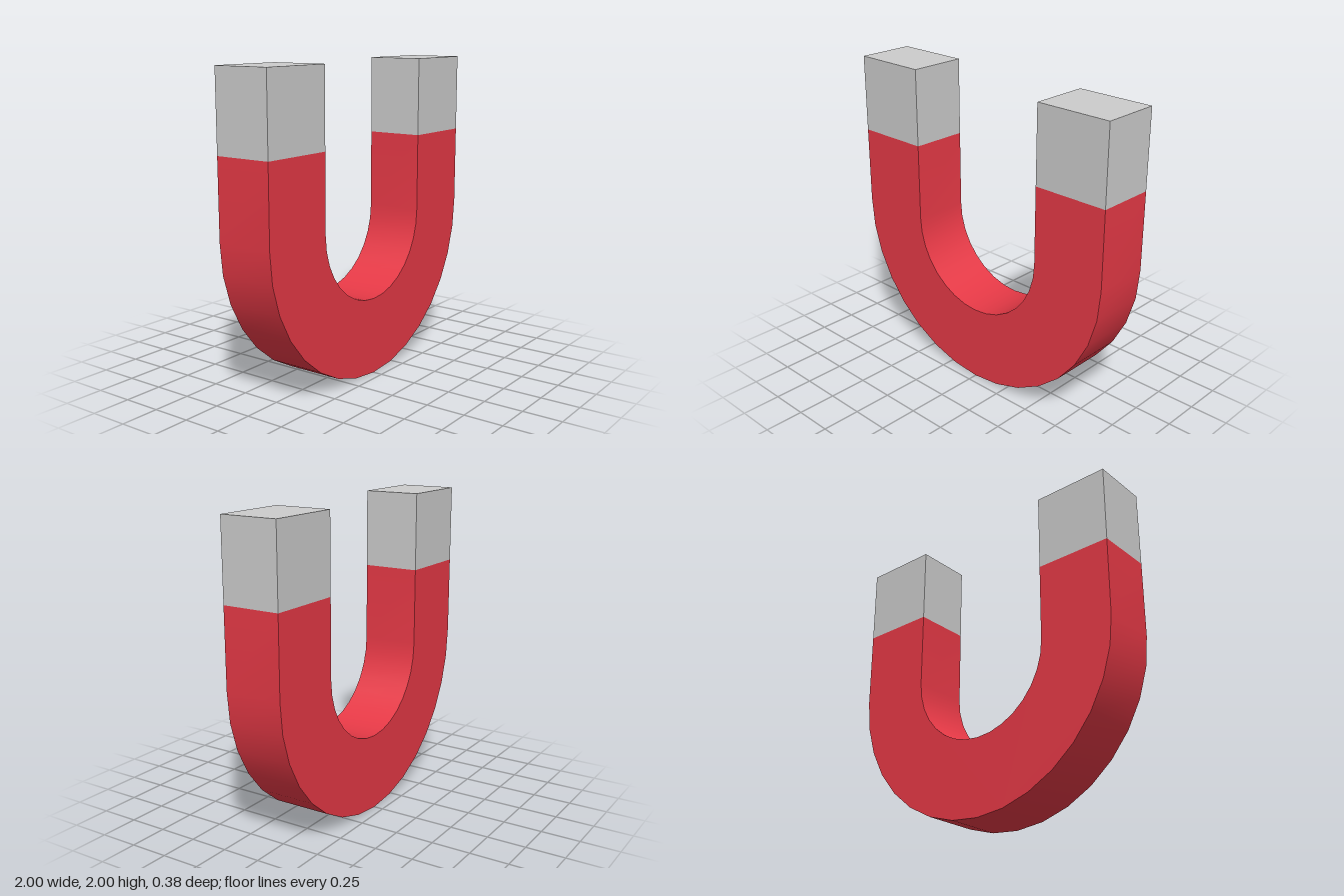
import * as THREE from 'three';
import { toCreasedNormals } from 'three/addons/utils/BufferGeometryUtils.js';

const OUTER = 1, INNER = 0.5, DEPTH = 0.375;
const BEND_Y = 1, TIP_Y = 1.5, TOP_Y = 2;

export function createModel() {
  const model = new THREE.Group();
  model.name = 'horseshoeMagnet';

  // U-shaped body: two straight legs joined by a half ring
  const profile = new THREE.Shape();
  profile.moveTo(-OUTER, TIP_Y);
  profile.lineTo(-OUTER, BEND_Y);
  profile.absarc(0, BEND_Y, OUTER, Math.PI, 2 * Math.PI, false);
  profile.lineTo(OUTER, TIP_Y);
  profile.lineTo(INNER, TIP_Y);
  profile.lineTo(INNER, BEND_Y);
  profile.absarc(0, BEND_Y, INNER, 2 * Math.PI, Math.PI, true);
  profile.lineTo(-INNER, TIP_Y);
  profile.closePath();

  const bodyGeometry = new THREE.ExtrudeGeometry(profile, {
    depth: DEPTH, bevelEnabled: false, curveSegments: 8,
  });
  bodyGeometry.translate(0, 0, -DEPTH / 2);
  const body = new THREE.Mesh(
    toCreasedNormals(bodyGeometry, 0.6),
    new THREE.MeshStandardMaterial({ color: 0xe63946 }),
  );
  body.name = 'body';
  model.add(body);

  // Bare metal pole tips, flush with the legs
  const tipGeometry = new THREE.BoxGeometry(OUTER - INNER, TOP_Y - TIP_Y, DEPTH);
  const metal = new THREE.MeshStandardMaterial({ color: 0xcccccc });
  for (const [name, side] of [['leftTip', 1], ['rightTip', -1]]) {
    const tip = new THREE.Mesh(tipGeometry, metal);
    tip.name = name;
    tip.position.set(side * (OUTER + INNER) / 2, (TIP_Y + TOP_Y) / 2, 0);
    model.add(tip);
  }

  return model;
}
